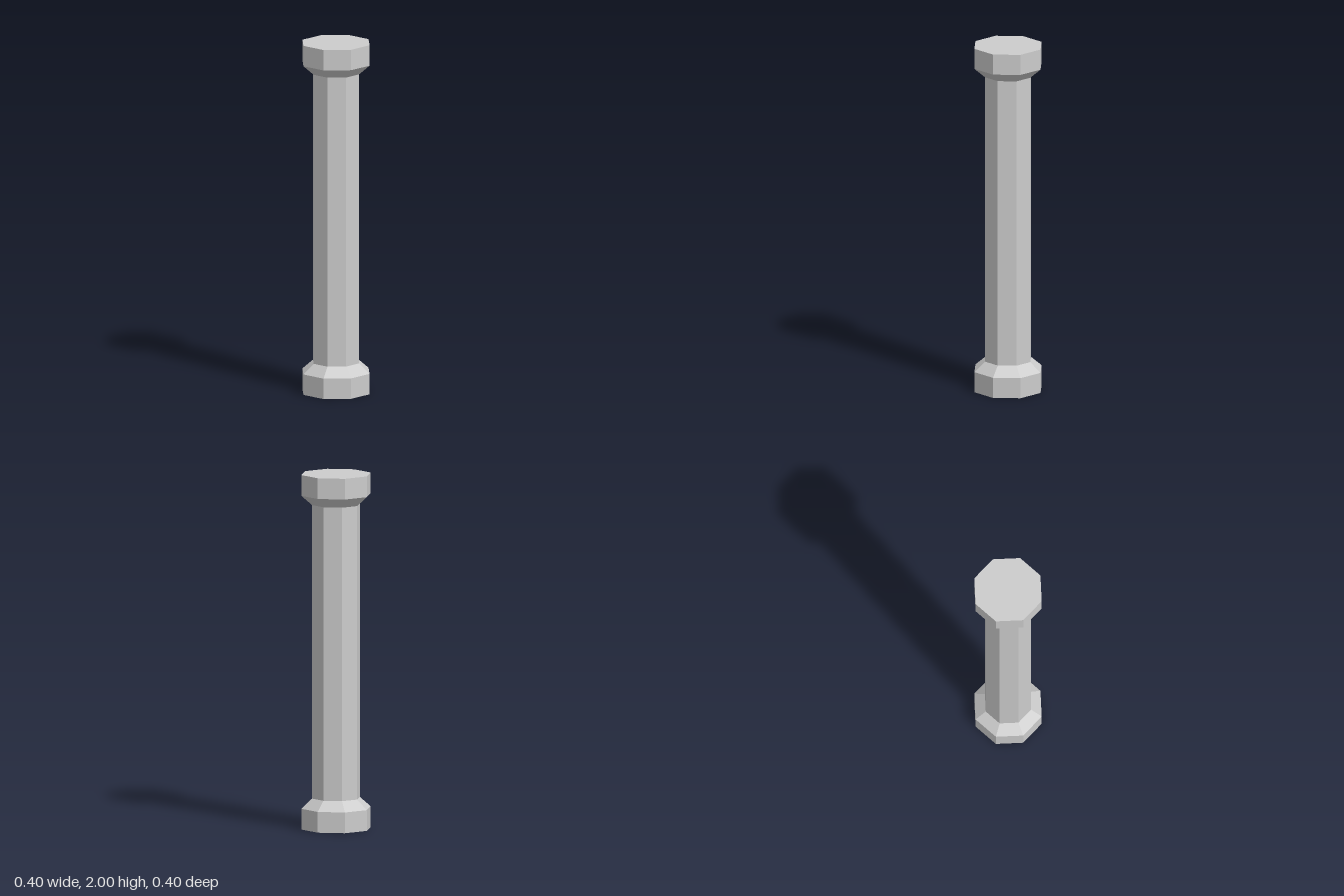
import * as THREE from 'three';

export function createModel() {
  const SIDES = 8, HEIGHT = 2;
  const WIDE = 0.2, NARROW = 0.137;
  const BLOCK = 0.117, NECK = 0.172; // top of the base block and of its bevel

  const stone = new THREE.MeshStandardMaterial({ color: 0xcccccc });
  stone.name = 'lightGreyStone';
  stone.flatShading = true;

  const model = new THREE.Group();
  model.name = 'column';

  // Octagonal section between two heights
  function section(name, y0, y1, r0, r1, open) {
    const geometry = new THREE.CylinderGeometry(r1, r0, y1 - y0, SIDES, 1, open);
    const mesh = new THREE.Mesh(geometry, stone);
    mesh.name = name;
    mesh.position.y = (y0 + y1) / 2;
    model.add(mesh);
  }

  // Base
  section('baseBlock', 0, BLOCK, WIDE, WIDE, false);
  section('baseBevel', BLOCK, NECK, WIDE, NARROW, true);
  // Shaft
  section('shaft', NECK, HEIGHT - NECK, NARROW, NARROW, true);
  // Capital, mirroring the base
  section('capitalBevel', HEIGHT - NECK, HEIGHT - BLOCK, NARROW, WIDE, true);
  section('capitalBlock', HEIGHT - BLOCK, HEIGHT, WIDE, WIDE, false);

  return model;
}
